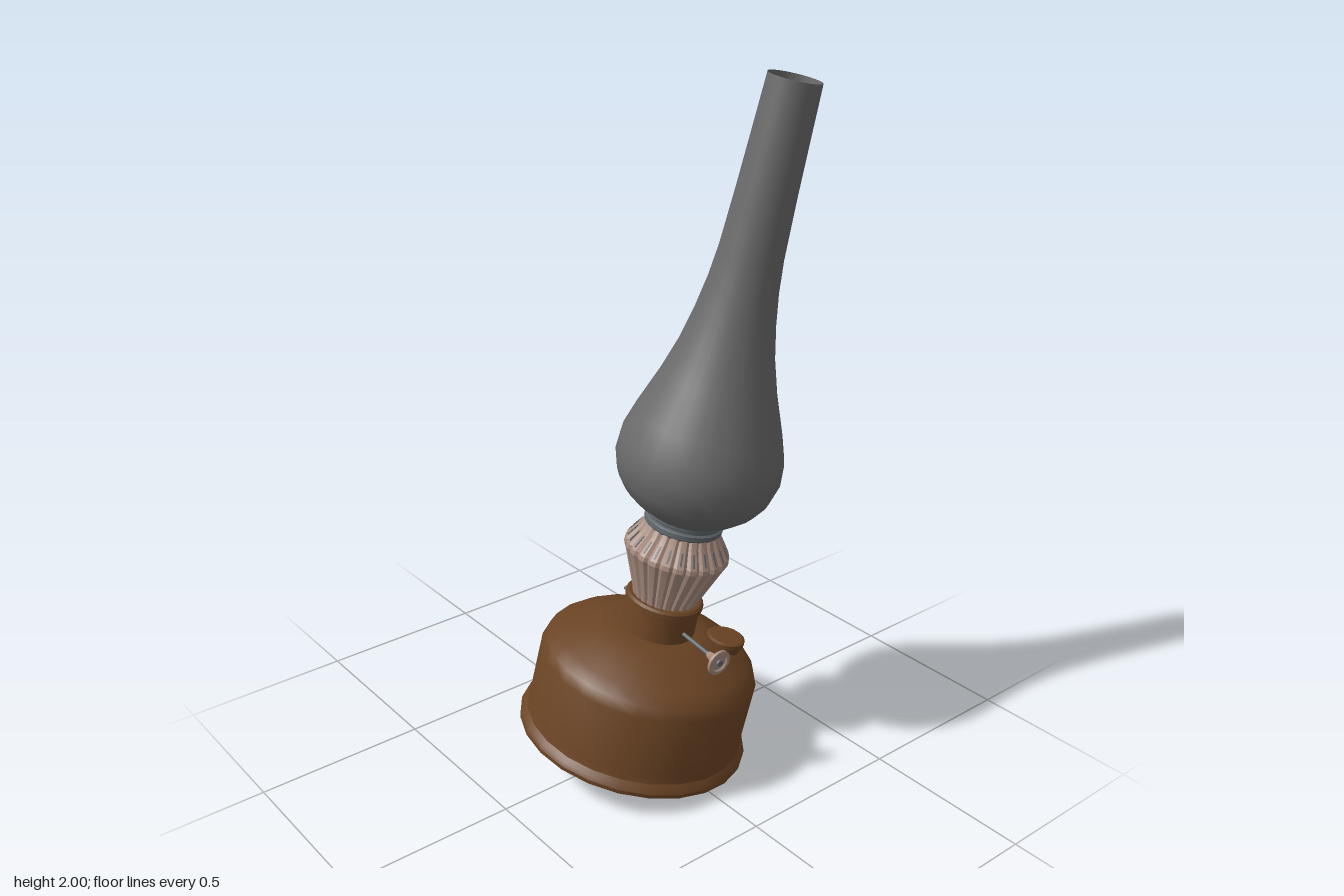
import * as THREE from 'three';
import { toCreasedNormals } from 'three/addons/utils/BufferGeometryUtils.js';

const brown = new THREE.MeshStandardMaterial({ color: 0x6b4424 });
brown.name = 'brown painted metal';
const glass = new THREE.MeshStandardMaterial({ color: 0x6a6a6a, side: THREE.DoubleSide });
glass.name = 'smoky glass';
const copper = new THREE.MeshStandardMaterial({ color: 0xa58a7d, side: THREE.DoubleSide });
copper.name = 'pale copper';
const steel = new THREE.MeshStandardMaterial({ color: 0x5f676b });
steel.name = 'grey steel';

const points = (list) => list.map(([r, y]) => new THREE.Vector2(r, y));

function lathe(list, sides, crease) {
  return toCreasedNormals(new THREE.LatheGeometry(points(list), sides), crease);
}

function add(parent, name, geometry, material) {
  const mesh = new THREE.Mesh(geometry, material);
  mesh.name = name;
  parent.add(mesh);
  return mesh;
}

// Lathe whose radius alternates around the axis, forming vertical pleats
function pleated(list, pleats, depth) {
  const sides = pleats * 4;
  const geometry = new THREE.LatheGeometry(points(list), sides);
  const pos = geometry.attributes.position;
  for (let i = 0; i < pos.count; i++) {
    const column = Math.floor(i / list.length);
    if (column % 4 === 0) {
      pos.setX(i, pos.getX(i) * (1 - depth));
      pos.setZ(i, pos.getZ(i) * (1 - depth));
    }
  }
  return toCreasedNormals(geometry, 0.3);
}

export function createModel() {
  const model = new THREE.Group();
  model.name = 'oilLamp';

  // The whole lamp leans to its left and back
  const lamp = new THREE.Group();
  lamp.name = 'leaningLamp';
  lamp.position.set(-0.007, 0.072, 0.04);
  lamp.quaternion.setFromUnitVectors(
    new THREE.Vector3(0, 1, 0),
    new THREE.Vector3(0.124, 1, -0.178).normalize()
  );
  model.add(lamp);

  // Fuel tank with rolled foot rim, rounded shoulder and neck
  add(lamp, 'fuelTank', lathe([
    [0, 0.012], [0.325, 0.012], [0.33, 0], [0.339, 0.004], [0.341, 0.016], [0.336, 0.028],
    [0.324, 0.04], [0.321, 0.06], [0.321, 0.245], [0.308, 0.275], [0.275, 0.301],
    [0.175, 0.348], [0.135, 0.36], [0.108, 0.362],
    [0.108, 0.44], [0.114, 0.444], [0.114, 0.46], [0.107, 0.466], [0, 0.466],
  ], 24, 0.55), brown);

  // Filler cap on the shoulder at the back
  const cap = add(lamp, 'fillerCap', lathe([
    [0.028, 0], [0.052, 0.06], [0.057, 0.07], [0.057, 0.084], [0.05, 0.088], [0, 0.088],
  ], 16, 0.5), brown);
  cap.position.set(0.115, 0.272, -0.172);

  // Pleated burner gallery
  const burnerProfile = [
    [0.096, 0.462], [0.1, 0.48], [0.143, 0.592], [0.152, 0.612], [0.15, 0.625],
    [0.118, 0.672], [0.106, 0.7],
  ];
  add(lamp, 'burner', pleated(burnerProfile, 24, 0.05), copper);

  // Air slots around the upper slope of the burner
  const slots = new THREE.Group();
  slots.name = 'airSlots';
  lamp.add(slots);
  for (let i = 0; i < 24; i++) {
    const pivot = new THREE.Group();
    pivot.rotation.y = ((i + 0.5) / 24) * Math.PI * 2;
    slots.add(pivot);
    const slot = add(pivot, 'airSlot', new THREE.BoxGeometry(0.005, 0.038, 0.004), steel);
    slot.position.set(0, 0.648, 0.134);
    slot.rotation.x = -0.597;
  }

  // Collar holding the chimney
  add(lamp, 'collar', lathe([
    [0, 0.688], [0.106, 0.69], [0.113, 0.697], [0.113, 0.71], [0.107, 0.714],
    [0.107, 0.72], [0.112, 0.724], [0.112, 0.734], [0.1, 0.738], [0, 0.738],
  ], 24, 0.6), steel);

  // Glass chimney, open at the top
  add(lamp, 'chimney', lathe([
    [0.103, 0.722], [0.116, 0.735], [0.155, 0.757], [0.19, 0.787], [0.218, 0.828],
    [0.234, 0.885], [0.23, 0.945], [0.207, 1.015], [0.163, 1.13], [0.133, 1.225],
    [0.112, 1.32], [0.097, 1.41], [0.088, 1.5], [0.081, 1.66], [0.076, 1.82], [0.072, 1.957],
  ], 28, 1), glass);

  // Wick adjuster: stem through the neck with a flared knob
  const wick = new THREE.Group();
  wick.name = 'wickAdjuster';
  wick.position.set(0, 0.395, 0);
  wick.rotation.z = -Math.PI / 2;
  lamp.add(wick);
  const stem = add(wick, 'wickStem', new THREE.CylinderGeometry(0.006, 0.006, 0.415, 8), steel);
  stem.position.y = 0.0425;
  add(wick, 'wickKnob', lathe([
    [0, 0.215], [0.009, 0.217], [0.013, 0.235], [0.022, 0.248], [0.038, 0.258],
    [0.038, 0.266], [0.028, 0.267], [0.024, 0.262], [0, 0.262],
  ], 16, 0.5), copper);
  const boss = add(wick, 'knobCentre', new THREE.CylinderGeometry(0.01, 0.01, 0.01, 10), steel);
  boss.position.y = 0.264;

  return model;
}
